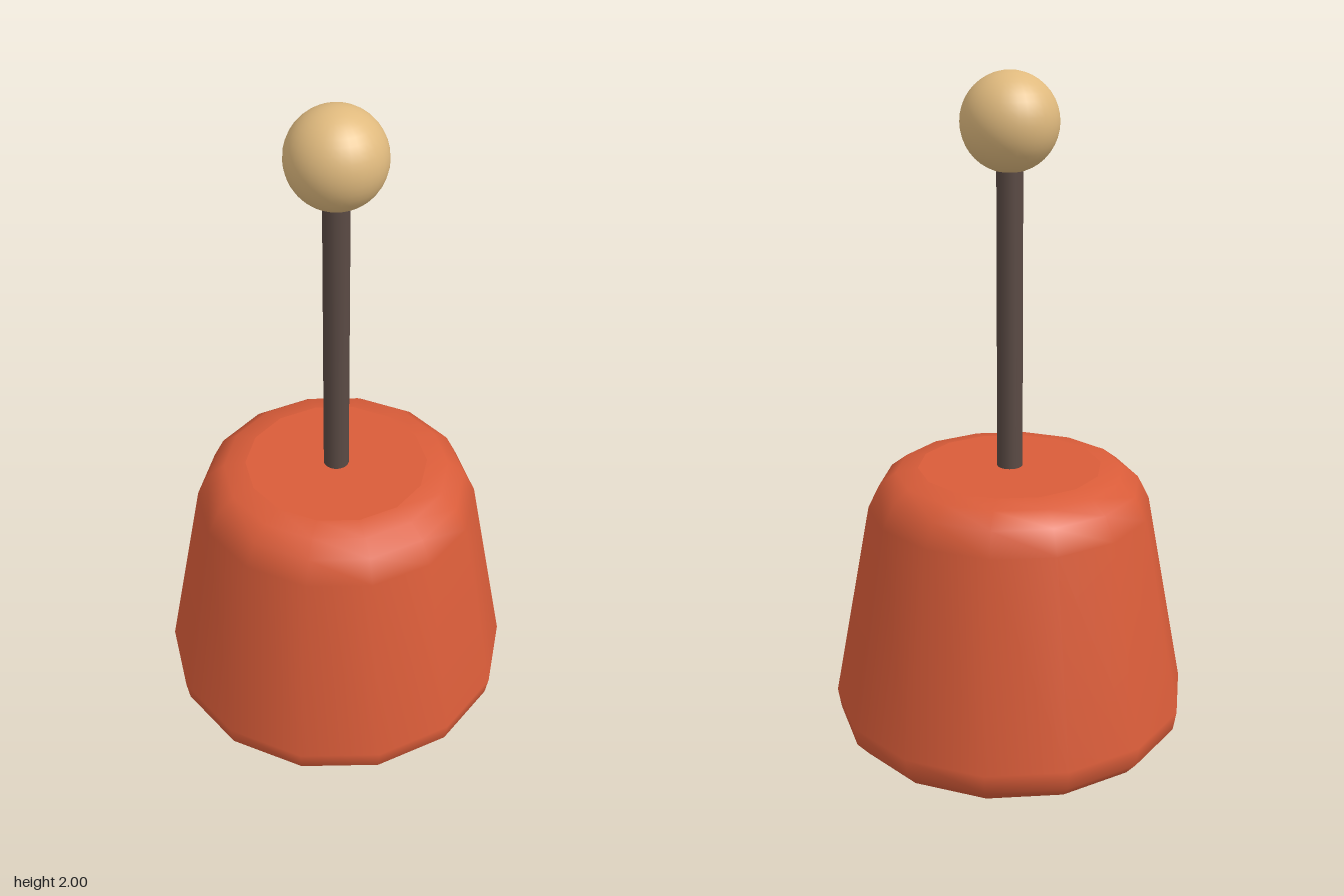
import * as THREE from 'three';

const SIDES = 14;

function flatMaterial(name, color) {
  const material = new THREE.MeshStandardMaterial({ color });
  material.name = name;
  return material;
}

export function createModel() {
  const model = new THREE.Group();
  const red = flatMaterial('brick red', 0xd95c39);
  const brown = flatMaterial('dark brown', 0x5a4a44);
  const tan = flatMaterial('tan', 0xe0ba7e);

  function add(name, geometry, material, y = 0, parent = model) {
    const mesh = new THREE.Mesh(geometry, material);
    mesh.name = name;
    mesh.position.y = y;
    parent.add(mesh);
    return mesh;
  }

  // Tapered weight with rounded rims, turned in 14 sides
  const base = new THREE.Group();
  base.name = 'base';
  model.add(base);
  const profile = [
    [0.44, 0], [0.495, 0.02], [0.53, 0.06], [0.54, 0.12],
    [0.425, 0.73], [0.39, 0.8], [0.34, 0.838], [0.275, 0.85],
  ].map(([r, y]) => new THREE.Vector2(r, y));
  add('baseSide', new THREE.LatheGeometry(profile, SIDES), red, 0, base);

  // Flat caps, with corners lined up with the turned side
  const cap = (radius) => new THREE.CircleGeometry(radius, SIDES, Math.PI / 2);
  add('baseTop', cap(0.275).rotateX(-Math.PI / 2), red, 0.85, base);
  add('baseBottom', cap(0.44).rotateX(Math.PI / 2), red, 0, base);

  // Upright rod running from inside the base into the knob
  add('rod', new THREE.CylinderGeometry(0.038, 0.038, 1.0, 16), brown, 1.3);

  // Round knob
  add('knob', new THREE.SphereGeometry(0.14, 32, 20), tan, 1.86);

  return model;
}
